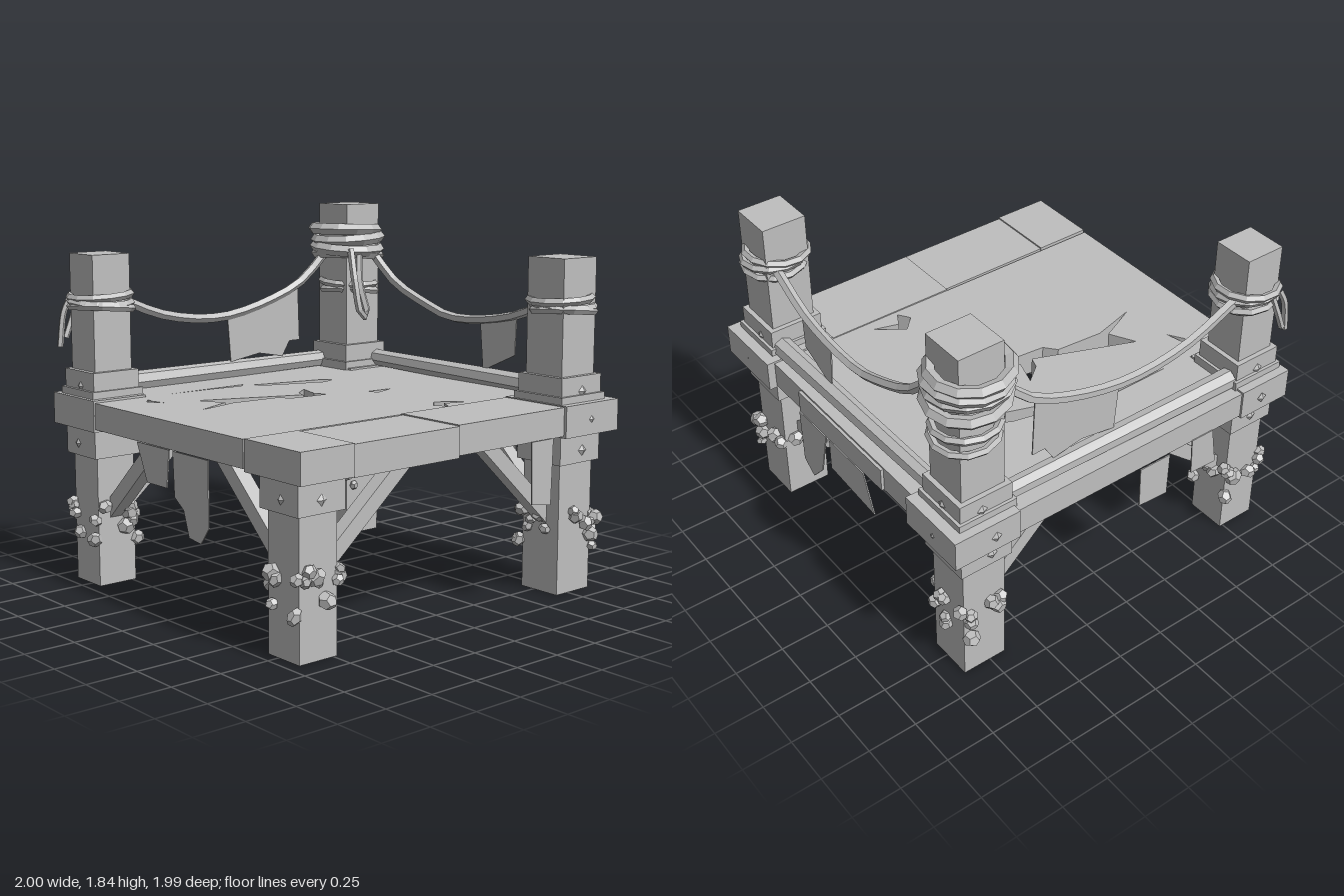
import * as THREE from 'three';

const wood = new THREE.MeshStandardMaterial({ color: 0xbfbfbf, flatShading: true });
wood.name = 'plainGrey';

let seed = 11;
const rand = () => ((seed = (seed * 16807) % 2147483647) / 2147483647);
const spread = (a) => (rand() * 2 - 1) * a;

export function createModel() {
  const root = new THREE.Group();
  root.name = 'ruinedPlatform';

  const add = (name, geo, parent = root) => {
    const m = new THREE.Mesh(geo, wood);
    m.name = name;
    parent.add(m);
    return m;
  };
  // Box given by its minimum and maximum on each axis
  const block = (name, x0, x1, y0, y1, z0, z1, parent) =>
    add(name, new THREE.BoxGeometry(x1 - x0, y1 - y0, z1 - z0), parent)
      .position.set((x0 + x1) / 2, (y0 + y1) / 2, (z0 + z1) / 2);
  // Straight member between two points
  const span = (name, a, b, geoFor) => {
    const p = new THREE.Vector3(...a), q = new THREE.Vector3(...b);
    const d = q.clone().sub(p);
    const m = add(name, geoFor(d.length()));
    m.position.copy(p).add(q).multiplyScalar(0.5);
    m.quaternion.setFromUnitVectors(new THREE.Vector3(0, 1, 0), d.normalize());
    return m;
  };
  const shapeOf = (pts) => new THREE.Shape(pts.map(([x, y]) => new THREE.Vector2(x, y)));

  // Posts with their collars; the front right-hand corner post stops under the deck
  const posts = [
    { name: 'backLeftPost', x: 0.78, z: -0.775, w: 0.23, h: 1.84 },
    { name: 'frontLeftPost', x: 0.785, z: 0.785, w: 0.23, h: 1.64 },
    { name: 'backRightPost', x: -0.835, z: -0.78, w: 0.21, h: 1.645 },
    { name: 'frontRightPost', x: -0.835, z: 0.785, w: 0.21, h: 0.85 },
  ];
  for (const { name, x, z, w, h } of posts) {
    const g = new THREE.Group();
    g.name = name;
    root.add(g);
    const r = w / 2, c = r + 0.025;
    block('post', x - r, x + r, 0, h, z - r, z + r, g);
    block('lowerCollar', x - c, x + c, 0.65, 0.81, z - c, z + c, g);
    if (h > 1) {
      block('upperCollar', x - c, x + c, 0.93, 1.075, z - c, z + c, g);
      block('collarFoot', x - c - 0.015, x + c + 0.015, 0.93, 0.985, z - c - 0.015, z + c + 0.015, g);
    }
    // Pegs on the outer faces of the collars
    const sx = Math.sign(x), sz = Math.sign(z);
    for (const y of [0.71, 0.87, 1.0]) {
      if (y > h) continue;
      const out = y === 0.87 ? 0.975 : Math.abs(z) + c;
      const pegA = add('peg', new THREE.OctahedronGeometry(0.028), g);
      pegA.position.set(x + spread(0.03), y, sz * out);
      pegA.scale.z = 0.5;
      const pegB = add('peg', new THREE.OctahedronGeometry(0.024), g);
      pegB.position.set(y === 0.87 ? sx * 0.985 : x + sx * c, y, z + spread(0.03));
      pegB.scale.x = 0.5;
    }
    // Cluster of stones growing around the post
    for (let i = 0; i < 24; i++) {
      const t = spread(r + 0.02), side = i % 4;
      const dir = side % 2 ? sz : sx;
      const o = (side < 2 ? 1 : -1) * dir * (r + 0.015);
      const stone = add('stone', new THREE.DodecahedronGeometry(0.026 + rand() * 0.018, 0), g);
      const y = i % 5 === 0 ? 0.2 + rand() * 0.1 : 0.31 + rand() * 0.1;
      stone.position.set(side % 2 ? x + t : x + o, y, side % 2 ? z + o : z + t);
      stone.rotation.set(rand() * 3, rand() * 3, rand() * 3);
      stone.scale.set(1, 0.75 + rand() * 0.3, 1.1);
    }
    // Two diagonal braces up to the deck
    const brace = (len) => new THREE.BoxGeometry(0.075, len, 0.075);
    span('brace', [x - sx * 0.07, 0.36, z], [sx * 0.2, 0.84, z], brace);
    span('brace', [x, 0.36, z - sz * 0.07], [x, 0.84, sz * 0.2], brace);
  }

  // Broken deck
  const deck = shapeOf([[-0.995, -0.595], [0.7, -0.595], [0.7, 0.585], [-0.995, 0.58]]);
  const holes = [
    [[-0.56, -0.588], [-0.1, -0.59], [-0.14, -0.56], [-0.3, -0.578]],
    [[-0.08, -0.55], [0.3, -0.46], [0.36, -0.42], [0.28, -0.39], [0, -0.49]],
    [[-0.57, -0.34], [-0.07, -0.14], [-0.05, -0.2], [0.04, -0.27], [0, -0.14], [0.03, -0.08],
      [-0.17, -0.1], [-0.22, -0.16], [-0.47, -0.18], [-0.7, -0.12], [-0.5, -0.21]],
    [[0.17, -0.06], [0.24, -0.01], [0.39, 0], [0.27, 0.04], [0.25, 0]],
    [[0.28, 0.43], [0.42, 0.53], [0.29, 0.49], [0.25, 0.56], [0.21, 0.5]],
    [[-0.78, -0.47], [-0.74, -0.52], [-0.75, -0.47], [-0.73, -0.39]],
  ];
  for (const h of holes) deck.holes.push(new THREE.Path(h.map(([x, z]) => new THREE.Vector2(x, z))));
  const deckGeo = new THREE.ExtrudeGeometry(deck, { depth: 0.13, bevelEnabled: false });
  deckGeo.rotateX(Math.PI / 2);
  add('deck', deckGeo).position.y = 0.94;

  // Border planks around the deck
  block('frontPlank', -1, -0.705, 0.8, 0.945, 0.595, 0.975);
  block('frontPlank', -0.702, -0.08, 0.795, 0.94, 0.597, 0.97);
  block('frontPlank', -0.077, 0.62, 0.805, 0.945, 0.585, 0.965);
  block('frontPlank', 0.62, 0.995, 0.795, 0.95, 0.585, 0.98);
  block('backPlank', -1, -0.7, 0.795, 0.95, -0.97, -0.6);
  block('backPlank', -0.7, 0.64, 0.805, 0.94, -0.96, -0.595);
  block('backPlank', 0.64, 0.99, 0.795, 0.95, -0.975, -0.6);
  block('sidePlank', 0.7, 0.955, 0.805, 0.94, -0.6, 0.585);
  block('sidePatch', 0.95, 0.97, 0.81, 0.93, -0.37, 0.34);

  // Low rails
  const rail = (len) => new THREE.CylinderGeometry(0.045, 0.053, len, 7);
  span('backRail', [-0.7, 0.975, -0.86], [0.68, 0.98, -0.86], rail);
  span('sideRail', [0.87, 0.97, 0.67], [0.865, 0.99, -0.66], rail);

  // Sagging ropes and loose ends
  const rope = (name, pts, r) => add(name, new THREE.TubeGeometry(
    new THREE.CatmullRomCurve3(pts.map((p) => new THREE.Vector3(...p))), 14, r, 5));
  rope('backRope', [[-0.72, 1.42, -0.84], [-0.4, 1.3, -0.85], [-0.05, 1.265, -0.85],
    [0.3, 1.34, -0.85], [0.5, 1.43, -0.84], [0.64, 1.57, -0.82]], 0.025);
  rope('sideRope', [[0.85, 1.41, 0.67], [0.87, 1.3, 0.35], [0.87, 1.265, -0.05],
    [0.87, 1.32, -0.25], [0.86, 1.42, -0.48], [0.84, 1.57, -0.64]], 0.025);
  rope('hangingLoop', [[0.66, 1.6, -0.62], [0.64, 1.42, -0.56], [0.66, 1.25, -0.53],
    [0.7, 1.24, -0.53], [0.69, 1.42, -0.58], [0.72, 1.6, -0.62]], 0.02);
  rope('looseEnd', [[-0.93, 1.42, -0.91], [-0.96, 1.35, -0.92], [-0.985, 1.18, -0.92]], 0.016);
  rope('looseEnd', [[-0.87, 1.42, -0.92], [-0.9, 1.32, -0.94], [-0.94, 1.22, -0.94]], 0.016);

  // Lumpy rope coils around the posts
  const coils = (name, x, z, R, r, heights) => heights.forEach((y, i) => {
    const geo = new THREE.TorusGeometry(R, r, 5, 12);
    geo.rotateX(Math.PI / 2);
    const m = add(name, geo);
    m.position.set(x + spread(0.012), y, z + spread(0.012));
    m.rotation.set((i % 2 ? 0.08 : -0.07), i * 0.4, (i % 3 - 1) * 0.1);
  });
  coils('tallPostCoil', 0.78, -0.785, 0.175, 0.032, [1.56, 1.6, 1.65, 1.7]);
  coils('tallPostLowerCoil', 0.79, -0.78, 0.15, 0.02, [1.36, 1.41]);
  coils('frontPostCoil', 0.79, 0.785, 0.15, 0.021, [1.38, 1.41, 1.44]);
  coils('backPostCoil', -0.835, -0.78, 0.15, 0.021, [1.38, 1.41, 1.44]);

  // Torn cloth: outlines facing front or turned to face the side
  const cloth = (name, pts, at, side) => {
    const geo = new THREE.ExtrudeGeometry(shapeOf(pts), { depth: 0.006, bevelEnabled: false });
    if (side) geo.rotateY(-Math.PI / 2);
    add(name, geo).position[side ? 'x' : 'z'] = at;
  };
  cloth('backRopeCloth', [[-0.01, 1.27], [0.01, 1.02], [0.2, 1.05], [0.36, 1.02], [0.41, 1.1],
    [0.48, 1.1], [0.47, 1.39], [0.3, 1.34]], -0.85);
  cloth('sideRopeCloth', [[0.42, 1.31], [0.41, 1.11], [0.19, 1.01], [0.165, 1.27]], 0.87, true);
  cloth('frontCloth', [[0.38, 0.81], [0.39, 0.51], [0.52, 0.49], [0.53, 0.81]], 0.975);
  cloth('backCloth', [[-0.24, 0.81], [-0.235, 0.575], [-0.065, 0.585], [-0.06, 0.81]], -0.975);
  cloth('backCloth', [[-0.52, 0.81], [-0.555, 0.6], [-0.4, 0.605], [-0.39, 0.81]], -0.965);
  cloth('sideCloth', [[0.07, 0.81], [0.07, 0.64], [-0.3, 0.61], [-0.22, 0.81]], 0.975, true);
  cloth('sideCloth', [[0.34, 0.81], [0.33, 0.52], [0.25, 0.46], [0.16, 0.56], [0.1, 0.81]], 0.975, true);
  cloth('farSideCloth', [[0.34, 0.81], [0.34, 0.5], [0.28, 0.42], [0.19, 0.43], [0.15, 0.55],
    [0.08, 0.6], [0.07, 0.81]], -1.0, true);
  cloth('farSideCloth', [[0.04, 0.81], [0.02, 0.63], [-0.14, 0.63], [-0.22, 0.81]], -1.0, true);

  return root;
}
